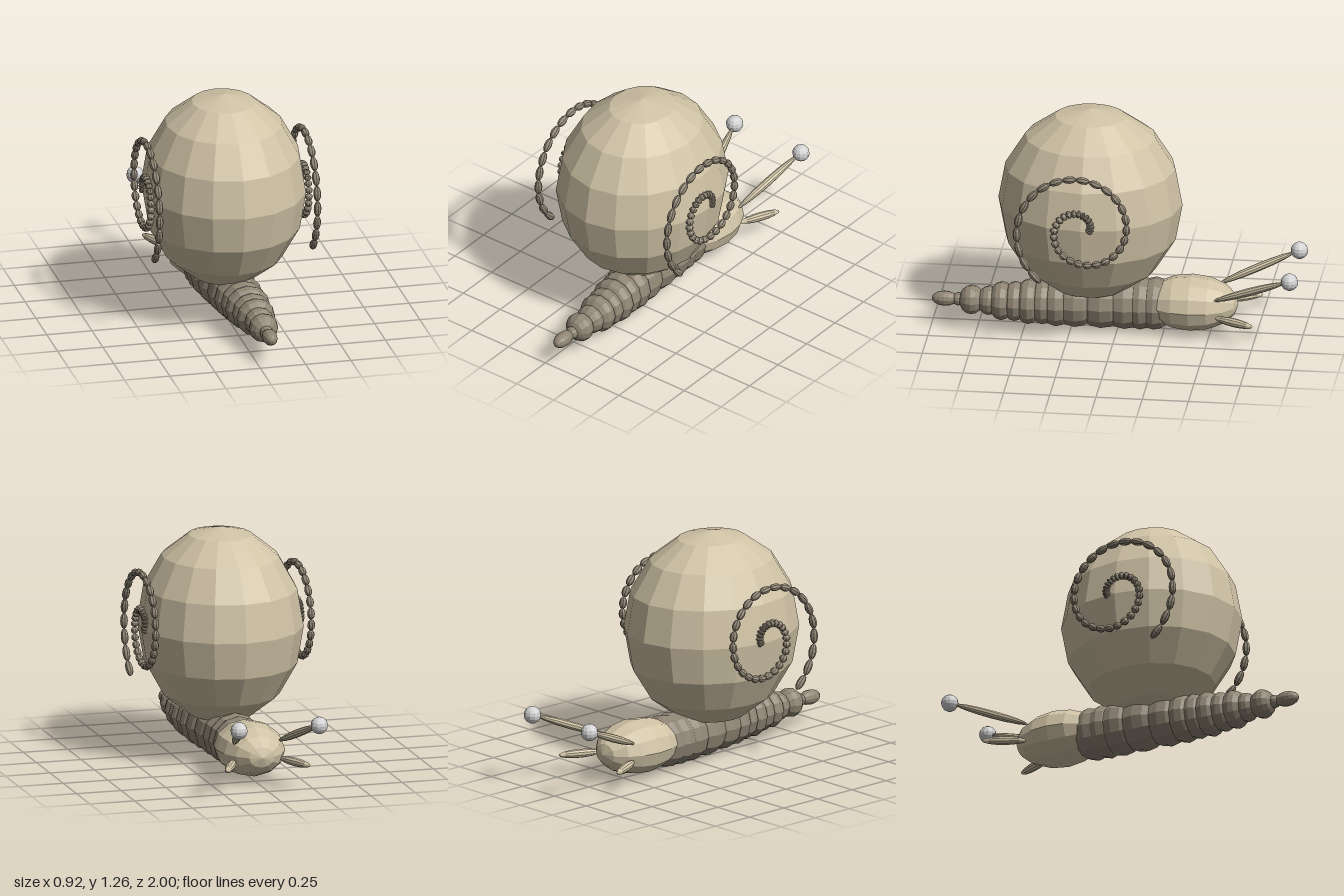
import * as THREE from 'three';

export function createModel() {
  const model = new THREE.Group();
  const material = (name, color) => {
    const m = new THREE.MeshStandardMaterial({ color, flatShading: true });
    m.name = name;
    return m;
  };
  const tan = material('tan', 0xd0c3a6);
  const brown = material('grey brown', 0x8f8574);
  const pale = material('pale grey', 0xd2d2d2);
  const up = new THREE.Vector3(0, 1, 0);

  // Stretched low-poly ball whose pole axis (local y) points along dir
  function ellipsoid(name, mat, pos, radii, dir = up, sides = 12, rows = 8) {
    const geo = new THREE.SphereGeometry(1, sides, rows);
    geo.scale(...radii);
    const mesh = new THREE.Mesh(geo, mat);
    mesh.name = name;
    mesh.position.set(...pos);
    mesh.quaternion.setFromUnitVectors(up, dir);
    model.add(mesh);
    return mesh;
  }

  // Slender feeler stretched between two points
  function feeler(name, a, b, r) {
    const from = new THREE.Vector3(...a), to = new THREE.Vector3(...b);
    const dir = to.clone().sub(from);
    const mid = from.add(to).multiplyScalar(0.5);
    ellipsoid(name, tan, mid.toArray(), [r, dir.length() / 2, r], dir.normalize(), 10, 8);
  }

  // Shell
  ellipsoid('shell', tan, [0, 0.73, 0.15], [0.444, 0.535, 0.498], up, 16, 8);

  // Ringed body, tail to neck: z, half length, radius
  const back = new THREE.Vector3(0, 0, 1);
  const rings = [
    [0.93, 0.07, 0.041], [0.855, 0.035, 0.036], [0.785, 0.068, 0.08],
    [0.69, 0.065, 0.08], [0.622, 0.072, 0.106], [0.55, 0.072, 0.109],
    [0.475, 0.08, 0.124], [0.4, 0.08, 0.124], [0.325, 0.095, 0.134],
    [0.225, 0.13, 0.137], [0.085, 0.15, 0.142], [-0.04, 0.13, 0.145],
    [-0.125, 0.1, 0.146], [-0.2, 0.11, 0.144],
  ];
  for (const [z, half, r] of rings) {
    const x = 0.068 * THREE.MathUtils.smoothstep(z, -0.25, 0.75);
    ellipsoid('bodyRing', brown, [x, 0.152, z], [r, half, r], back, 12, 8);
  }

  // Head
  ellipsoid('head', tan, [0, 0.167, -0.395], [0.185, 0.255, 0.147], back, 12, 8);

  for (const s of [1, -1]) {
    // Eye stalk, eye and lower feeler
    feeler('eyeStalk', [s * 0.125, 0.23, -0.53], [s * 0.218, 0.395, -0.93], 0.022);
    ellipsoid('eye', pale, [s * 0.225, 0.403, -0.953], [0.047, 0.047, 0.047], up, 12, 8);
    feeler('lowerFeeler', [s * 0.13, 0.134, -0.54], [s * 0.233, 0.134, -0.755], 0.024);

    // Spiral of beads on the side of the shell
    const count = 42, step = 10.26 / count;
    for (let i = 0; i <= count; i++) {
      const t = i * step, grow = 0.0321;
      const r = 0.043 + grow * t;
      const pos = [s * 0.436, 0.73 + r * Math.sin(t), 0.15 - r * Math.cos(t)];
      const dir = new THREE.Vector3(
        0,
        grow * Math.sin(t) + r * Math.cos(t),
        -grow * Math.cos(t) + r * Math.sin(t),
      ).normalize();
      const half = Math.max(0.011, r * step * 0.52);
      ellipsoid('spiralBead', brown, pos, [0.0215, half, 0.0215], dir, 8, 6);
    }
  }

  return model;
}
